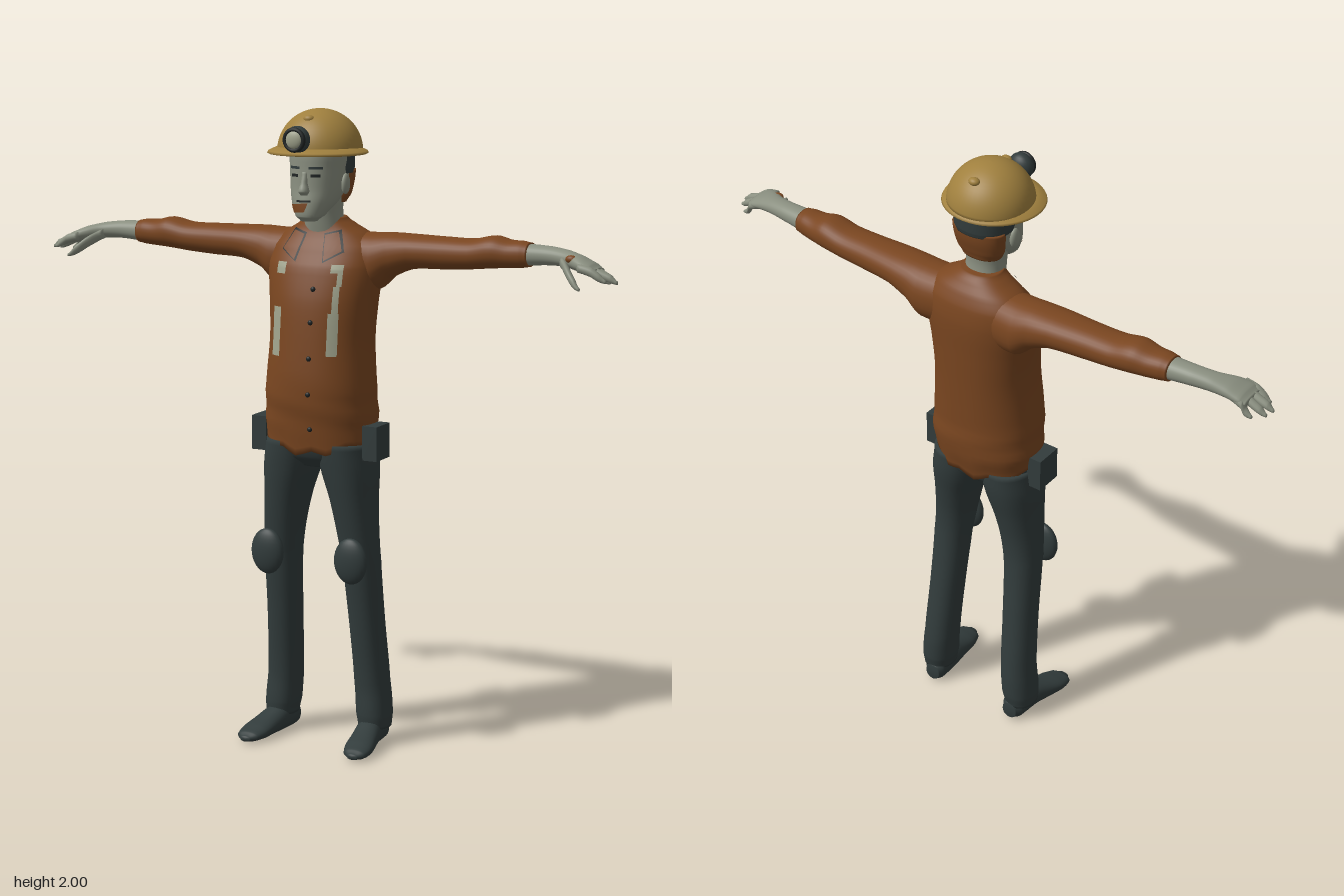
import * as THREE from 'three';

const paint = (name, color) => {
  const m = new THREE.MeshStandardMaterial({ color });
  m.name = name;
  return m;
};

// Smooth rows [p, c1, r1, c2, r2] (axis position, then centre and radius across) into dense rings
function smoothRows(rows, steps = 5) {
  const r = [...rows].sort((a, b) => a[0] - b[0]), out = [];
  for (let i = 0; i < r.length - 1; i++) {
    const a = r[Math.max(i - 1, 0)], b = r[i], c = r[i + 1], d = r[Math.min(i + 2, r.length - 1)];
    for (let k = 0; k < steps; k++) {
      const t = k / steps;
      out.push(b.map((v, j) => j === 0 ? v + (c[0] - v) * t
        : v + 0.5 * t * (c[j] - a[j] + t * (2 * a[j] - 5 * v + 4 * c[j] - d[j] + t * (3 * (v - c[j]) + d[j] - a[j])))));
    }
  }
  out.push(r[r.length - 1]);
  return out;
}

// Closed body of superelliptic rings along an axis; warp(point) may move vertices
function loft(axis, rows, { n = 2.2, sides = 32, warp } = {}) {
  const rings = smoothRows(rows), pos = [], idx = [];
  const add = (p, u, v) => {
    const q = axis === 'y' ? new THREE.Vector3(u, p, v) : axis === 'x' ? new THREE.Vector3(p, u, v) : new THREE.Vector3(u, v, p);
    if (warp) warp(q);
    pos.push(q.x, q.y, q.z);
  };
  const pow = (v) => Math.sign(v) * Math.abs(v) ** (2 / n);
  for (const [p, c1, r1, c2, r2] of rings)
    for (let i = 0; i < sides; i++) {
      const a = i / sides * Math.PI * 2;
      add(p, c1 + r1 * pow(Math.cos(a)), c2 + r2 * pow(Math.sin(a)));
    }
  const last = rings.length - 1, tip = rings.length * sides;
  for (const e of [rings[0], rings[last]]) add(e[0], e[1], e[3]);
  const tri = (a, b, c) => axis === 'y' ? idx.push(a, c, b) : idx.push(a, b, c);
  for (let i = 0; i < sides; i++) {
    const j = (i + 1) % sides;
    for (let k = 0; k < last; k++) {
      const a = k * sides + i, b = k * sides + j;
      tri(a, b, b + sides);
      tri(a, b + sides, a + sides);
    }
    tri(tip, j, i);
    tri(tip + 1, last * sides + i, last * sides + j);
  }
  const g = new THREE.BufferGeometry();
  g.setAttribute('position', new THREE.Float32BufferAttribute(pos, 3));
  g.setIndex(idx);
  g.computeVertexNormals();
  return g;
}

// Front z of an upright loft at (x, y)
function frontOf(rows, n = 2.2) {
  const rings = smoothRows(rows);
  return (x, y) => {
    const i = Math.max(1, rings.findIndex((r) => r[0] >= y)), a = rings[i - 1], b = rings[i];
    const t = (y - a[0]) / (b[0] - a[0]), [, c, rx, cz, rz] = a.map((v, j) => v + (b[j] - v) * t);
    return cz + rz * Math.max(0, 1 - Math.abs((x - c) / rx) ** n) ** (1 / n);
  };
}

// Thin quad laid on a front surface; corners counter-clockwise from bottom left
function patch(front, [a, b, c, d], lift = 0.005, seg = 8) {
  const g = new THREE.PlaneGeometry(1, 1, seg, seg), p = g.attributes.position;
  for (let i = 0; i < p.count; i++) {
    const u = p.getX(i) + 0.5, v = p.getY(i) + 0.5;
    const mix = (k) => (a[k] * (1 - u) + b[k] * u) * (1 - v) + (d[k] * (1 - u) + c[k] * u) * v;
    p.setXYZ(i, mix(0), mix(1), front(mix(0), mix(1)) + lift);
  }
  g.computeVertexNormals();
  return g;
}
const rect = (x0, x1, y0, y1) => [[x0, y0], [x1, y0], [x1, y1], [x0, y1]];

export function createModel() {
  const model = new THREE.Group();
  const brown = paint('rust cloth', 0x7a4620), skin = paint('grey skin', 0x8b9081), dark = paint('dark slate', 0x323c3c);
  const yellow = paint('helmet ochre', 0xa0803e), pale = paint('pale strip', 0xa0a38c), black = paint('near black', 0x1f2424);
  const add = (name, geo, mat, x = 0, y = 0, z = 0) => {
    const m = new THREE.Mesh(geo, mat);
    m.name = name;
    m.position.set(x, y, z);
    model.add(m);
    return m;
  };
  const ball = (name, mat, x, y, z, rx, ry, rz) =>
    add(name, new THREE.SphereGeometry(1, 24, 16), mat, x, y, z).scale.set(rx, ry, rz);

  // Shirt with an uneven hem and soft waist folds
  const shirt = [[0.98, 0, 0.177, -0.012, 0.122], [1.05, 0, 0.18, -0.017, 0.138], [1.15, 0, 0.175, -0.012, 0.143],
    [1.3, 0, 0.165, -0.02, 0.14], [1.42, 0, 0.173, -0.03, 0.135], [1.52, 0, 0.186, -0.045, 0.123],
    [1.58, 0, 0.18, -0.057, 0.103], [1.62, 0, 0.14, -0.06, 0.082], [1.65, 0, 0.088, -0.053, 0.066], [1.67, 0, 0.064, -0.045, 0.057]];
  add('shirt', loft('y', shirt, {
    sides: 48,
    warp: (q) => {
      const hem = Math.max(0, (1.05 - q.y) / 0.07);
      const fold = 1 + 0.012 * Math.sin(q.y * 70 + q.x * 14) * Math.exp(-(((q.y - 1.08) / 0.07) ** 2));
      q.x *= fold;
      q.z *= fold;
      q.y += hem * (0.035 * (q.x / 0.17) ** 2 - 0.03 + 0.009 * Math.sin(q.x * 60));
    },
  }), brown);
  const chest = frontOf(shirt);

  // Chest strips and buttons
  for (const [x0, x1, y0, y1] of [[-0.112, -0.08, 1.25, 1.4], [-0.112, -0.078, 1.5, 1.535], [0.08, 0.11, 1.26, 1.39],
    [0.09, 0.108, 1.39, 1.47], [0.098, 0.113, 1.47, 1.51], [0.076, 0.113, 1.51, 1.535]])
    add('chestStrip', patch(chest, rect(x0, x1, y0, y1)), pale);
  for (const y of [1.46, 1.36, 1.25, 1.14, 1.03])
    ball('button', black, 0.026, y, chest(0.026, y), 0.008, 0.008, 0.006);

  // Hips
  add('hips', loft('y', [[0.9, 0, 0.06, -0.015, 0.07], [0.93, 0, 0.15, -0.015, 0.1], [0.97, 0, 0.172, -0.014, 0.113],
    [1.03, 0, 0.172, -0.012, 0.116]]), dark);

  for (const s of [1, -1]) {
    const along = (rows) => rows.map(([p, ...r]) => [s * p, ...r]);
    const across = (rows) => rows.map(([p, c, ...r]) => [p, s * c, ...r]);
    const quad = (pts) => s > 0 ? pts : pts.map(([x, y]) => [-x, y]).reverse();

    // Collar flap over a darker edge
    add('collarEdge', patch(chest, quad([[0.046, 1.538], [0.106, 1.572], [0.079, 1.636], [0.03, 1.624]]), 0.008), black);
    add('collarFlap', patch(chest, quad([[0.05, 1.545], [0.1, 1.575], [0.075, 1.63], [0.035, 1.62]]), 0.013), brown);

    // Sleeve, forearm and hand
    add('sleeve', loft('x', along([[0.06, 1.54, 0.085, -0.065, 0.08], [0.17, 1.537, 0.088, -0.069, 0.085],
      [0.22, 1.559, 0.068, -0.07, 0.078], [0.29, 1.573, 0.053, -0.068, 0.072], [0.4, 1.575, 0.049, -0.065, 0.064],
      [0.49, 1.578, 0.046, -0.063, 0.062], [0.56, 1.588, 0.049, -0.062, 0.061], [0.61, 1.585, 0.042, -0.06, 0.053],
      [0.65, 1.586, 0.04, -0.058, 0.047], [0.675, 1.586, 0.036, -0.057, 0.042]])), brown);
    add('hand', loft('x', along([[0.65, 1.586, 0.033, -0.057, 0.038], [0.74, 1.588, 0.028, -0.052, 0.034],
      [0.8, 1.584, 0.025, -0.04, 0.035], [0.85, 1.574, 0.023, -0.02, 0.046], [0.89, 1.562, 0.018, -0.008, 0.052],
      [0.91, 1.555, 0.011, -0.006, 0.045]])), skin);
    [0.93, 0.962, 0.97, 0.945].forEach((tip, i) => {
      const z = -0.047 + i * 0.026, drop = 0.012 * (3 - i) / 3;
      add('finger', loft('x', along([[0.86, 1.567, 0.013, z, 0.014], [0.9, 1.558 - drop / 2, 0.014, z, 0.014],
        [tip - 0.02, 1.543 - drop, 0.012, z, 0.012], [tip, 1.532 - drop, 0.005, z, 0.005]]), { sides: 12 }), skin);
    });
    add('thumb', loft('x', along([[0.79, 1.575, 0.016, -0.015, 0.018], [0.825, 1.552, 0.017, 0.025, 0.018],
      [0.855, 1.526, 0.014, 0.052, 0.014], [0.877, 1.51, 0.005, 0.065, 0.006]]), { sides: 14 }), skin);

    // Trouser leg, shoe, knee pad and belt pouch
    add('trouserLeg', loft('y', across([[0.055, 0.166, 0.05, -0.062, 0.058], [0.1, 0.163, 0.055, -0.064, 0.064],
      [0.2, 0.155, 0.054, -0.064, 0.062], [0.4, 0.146, 0.054, -0.043, 0.061], [0.6, 0.138, 0.058, -0.02, 0.064],
      [0.7, 0.128, 0.063, -0.012, 0.073], [0.8, 0.115, 0.071, -0.012, 0.089], [0.9, 0.099, 0.086, -0.015, 0.106],
      [0.98, 0.088, 0.086, -0.014, 0.112]])), dark);
    add('shoe', loft('z', across([[-0.122, 0.158, 0.025, 0.036, 0.028], [-0.1, 0.16, 0.038, 0.042, 0.042],
      [-0.02, 0.165, 0.042, 0.042, 0.042], [0.04, 0.176, 0.045, 0.032, 0.032], [0.09, 0.184, 0.047, 0.024, 0.024],
      [0.13, 0.189, 0.037, 0.018, 0.016], [0.15, 0.19, 0.016, 0.014, 0.008]])), dark);
    ball('kneePad', dark, s * 0.146, 0.618, 0.074, 0.056, 0.073, 0.026);
    add('kneeStrap', new THREE.BoxGeometry(0.05, 0.06, 0.05), dark, s * 0.142, 0.618, 0.04);
    add('beltPouch', new THREE.BoxGeometry(0.05, 0.108, 0.09), dark, s * 0.193, 0.987, -0.003);

    // Ear, eye and brow
    ball('ear', skin, s * 0.086, 1.775, -0.005, 0.012, 0.032, 0.02);
  }
  ball('handMark', brown, 0.825, 1.588, 0.0, 0.018, 0.012, 0.012);

  // Neck and head
  add('neck', loft('y', [[1.6, 0, 0.07, -0.045, 0.06], [1.65, 0, 0.062, -0.032, 0.056], [1.7, 0, 0.06, -0.024, 0.058],
    [1.78, 0, 0.066, -0.022, 0.07]]), skin);
  const head = [[1.665, 0, 0.025, 0.07, 0.025], [1.68, 0, 0.043, 0.062, 0.045], [1.72, 0, 0.066, 0.03, 0.077],
    [1.76, 0, 0.079, 0.008, 0.093], [1.82, 0, 0.086, -0.006, 0.105], [1.88, 0, 0.087, -0.008, 0.103], [1.95, 0, 0.06, -0.008, 0.07]];
  add('head', loft('y', head), skin);
  const face = frontOf(head);
  add('nose', loft('y', [[1.745, 0, 0.012, 0.1, 0.012], [1.757, 0, 0.017, 0.1, 0.022], [1.78, 0, 0.011, 0.097, 0.016],
    [1.815, 0, 0.009, 0.095, 0.008]], { sides: 16 }), skin);
  for (const s of [-1, 1]) {
    const x = s * 0.035;
    add('eye', patch(face, rect(x - 0.014, x + 0.014, 1.799, 1.808), 0.003), black);
    add('brow', patch(face, rect(x - 0.02, x + 0.02, 1.823, 1.831), 0.004), dark);
  }
  add('beardPatch', patch(face, [[-0.045, 1.69], [0.005, 1.695], [0.016, 1.722], [-0.06, 1.715]], 0.004), brown);
  add('mouth', patch(face, rect(-0.024, 0.024, 1.724, 1.73), 0.004), black);

  // Hair under the helmet and at the nape
  add('hair', loft('y', [[1.805, 0, 0.088, -0.036, 0.079], [1.82, 0, 0.091, -0.034, 0.084], [1.89, 0, 0.092, -0.033, 0.085]]), dark);
  add('napeHair', loft('y', [[1.715, 0, 0.064, -0.045, 0.044], [1.74, 0, 0.078, -0.053, 0.044], [1.78, 0, 0.085, -0.06, 0.048],
    [1.815, 0, 0.088, -0.062, 0.05]]), brown);

  // Helmet dome, oval brim and bolts
  const dome = [new THREE.Vector2(0, 1.872)];
  for (let i = 0; i <= 16; i++) {
    const a = i / 16 * Math.PI / 2;
    dome.push(new THREE.Vector2(i === 16 ? 0 : 0.131 * Math.cos(a), 1.872 + 0.128 * Math.sin(a)));
  }
  add('helmetDome', new THREE.LatheGeometry(dome, 48), yellow, 0, 0, -0.003);
  const brim = [[0.1, 1.869], [0.15, 1.865], [0.155, 1.868], [0.152, 1.874], [0.128, 1.885], [0.1, 1.886]];
  add('helmetBrim', new THREE.LatheGeometry(brim.map(([x, y]) => new THREE.Vector2(x, y)), 48), yellow, 0, 0, 0.012).scale.z = 0.985;
  for (const z of [-0.085, 0.07]) ball('helmetBolt', yellow, 0, 1.972, z, 0.018, 0.012, 0.015);

  // Head lamp
  ball('lampHousing', dark, 0, 1.915, 0.145, 0.041, 0.041, 0.03);
  add('lampRim', new THREE.TorusGeometry(0.031, 0.007, 10, 32), black, 0, 1.915, 0.165);
  ball('lampLens', pale, 0, 1.915, 0.165, 0.028, 0.028, 0.012);
  return model;
}
